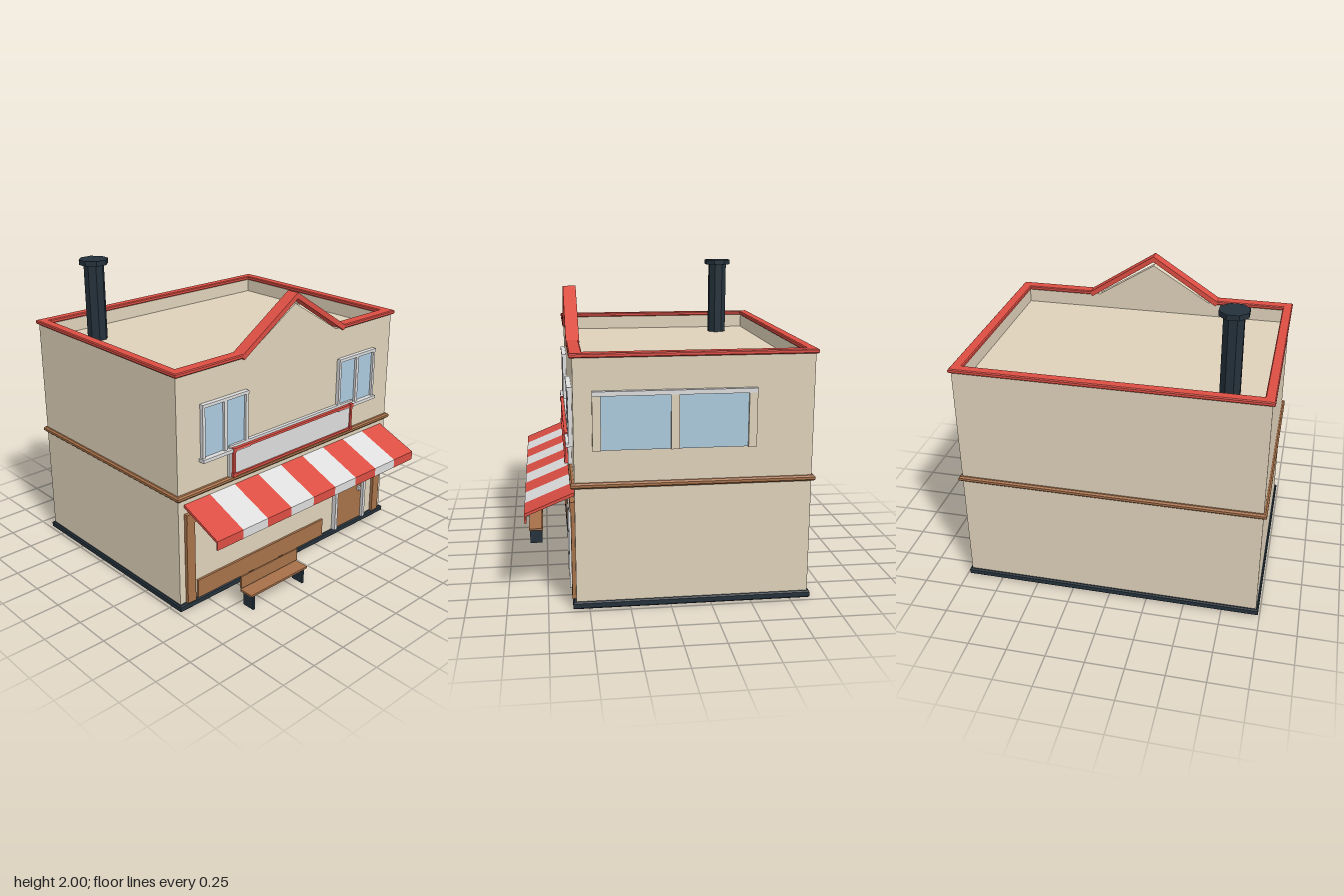
import * as THREE from 'three';

const mat = (name, color) => {
  const m = new THREE.MeshStandardMaterial({ color });
  m.name = name;
  return m;
};

export function createModel() {
  const root = new THREE.Group();
  root.name = 'shop';
  const beige = mat('beige plaster', 0xdfd2ba);
  const red = mat('red paint', 0xdc4e43);
  const white = mat('off white', 0xdddddd);
  const brown = mat('brown wood', 0xa77149);
  const dark = mat('dark slate', 0x24313b);
  const glass = mat('blue glass', 0xabcade);

  const add = (name, geo, material, parent = root) => {
    const mesh = new THREE.Mesh(geo, material);
    mesh.name = name;
    parent.add(mesh);
    return mesh;
  };
  const group = (name) => {
    const g = new THREE.Group();
    g.name = name;
    root.add(g);
    return g;
  };
  // Box given by its bounds
  const box = (name, material, x0, x1, y0, y1, z0, z1, parent) => {
    const geo = new THREE.BoxGeometry(x1 - x0, y1 - y0, z1 - z0);
    geo.translate((x0 + x1) / 2, (y0 + y1) / 2, (z0 + z1) / 2);
    return add(name, geo, material, parent);
  };
  const polygon = (pts) => new THREE.Shape(pts.map(([x, y]) => new THREE.Vector2(x, y)));
  const rect = (x0, x1, z0, z1) => [[x0, -z0], [x0, -z1], [x1, -z1], [x1, -z0]];
  // Plan outline raised from y0 to y1 with a chamfer b on its edges
  const raise = (shape, y0, y1, b = 0) => {
    const geo = new THREE.ExtrudeGeometry(shape, {
      depth: y1 - y0 - 2 * b, bevelEnabled: b > 0, bevelThickness: b, bevelSize: b, bevelOffset: -b, bevelSegments: 1,
    });
    return geo.rotateX(-Math.PI / 2).translate(0, y0 + b, 0);
  };
  const ring = (outer, inner) => {
    const s = polygon(rect(...outer));
    s.holes.push(polygon(rect(...inner)));
    return s;
  };

  // Building shell and recessed roof
  const wallOut = [-0.975, 0.965, -0.86, 0.58];
  const wallIn = [-0.935, 0.92, -0.82, 0.53];
  add('walls', raise(ring(wallOut, wallIn), 0.03, 1.56), beige);
  box('roofDeck', beige, -0.94, 0.925, 1.42, 1.46, -0.825, 0.535);
  add('plinth', raise(polygon(rect(-0.99, 0.98, -0.875, 0.6)), 0.005, 0.05, 0.008), dark);
  add('beltCourse', raise(ring([-0.995, 0.985, -0.88, 0.605], [-0.95, 0.94, -0.835, 0.555]), 0.77, 0.805, 0.01), brown);

  // Parapet coping, open at the front where the gable stands
  const coping = polygon([
    [-0.46, -0.6], [-0.99, -0.6], [-0.99, 0.875], [0.98, 0.875], [0.98, -0.6], [0.45, -0.6],
    [0.45, -0.52], [0.91, -0.52], [0.91, 0.81], [-0.925, 0.81], [-0.925, -0.52], [-0.46, -0.52],
  ]);
  add('parapetCoping', raise(coping, 1.553, 1.58, 0.006), red);

  // Gable
  const gable = group('gable');
  const upright = (name, pts, material, z0, z1) => add(name,
    new THREE.ExtrudeGeometry(polygon(pts), { depth: z1 - z0, bevelEnabled: false }).translate(0, 0, z0), material, gable);
  upright('gablePanel', [[-0.4, 1.56], [0.39, 1.56], [-0.005, 1.805]], beige, 0.53, 0.58);
  upright('gableRake', [[-0.475, 1.572], [-0.455, 1.543], [-0.005, 1.838], [0.445, 1.543], [0.465, 1.572], [-0.005, 1.877]],
    red, 0.515, 0.6);

  // Octagonal chimney
  const chimney = group('chimney');
  const octagon = (name, r, y0, y1) => {
    const geo = new THREE.CylinderGeometry(r, r, y1 - y0, 8).toNonIndexed();
    geo.computeVertexNormals();
    geo.rotateY(Math.PI / 8).translate(-0.7, (y0 + y1) / 2, -0.58);
    add(name, geo, dark, chimney);
  };
  octagon('chimneyShaft', 0.067, 1.45, 1.98);
  octagon('chimneyCap', 0.096, 1.967, 2);

  // Front windows: frame bars, two panes and a sill
  for (const x of [-0.61, 0.6]) {
    const w = group('frontWindow');
    for (const [a, b] of [[-0.185, -0.165], [-0.012, 0.012], [0.165, 0.185]])
      box('windowBar', white, x + a, x + b, 1, 1.325, 0.575, 0.605, w);
    box('windowHead', white, x - 0.185, x + 0.185, 1.325, 1.345, 0.575, 0.61, w);
    box('windowSill', white, x - 0.195, x + 0.19, 0.978, 1, 0.575, 0.622, w);
    box('windowGlass', glass, x - 0.17, x + 0.17, 1, 1.33, 0.58, 0.588, w);
  }

  // Side window
  const side = group('sideWindow');
  for (const [a, b] of [[0.42, 0.47], [-0.045, 0.005], [-0.51, -0.46]])
    box('sideWindowPost', beige, 0.96, 0.988, 1, 1.33, a, b, side);
  box('sideWindowHead', white, 0.96, 0.995, 1.33, 1.358, -0.51, 0.47, side);
  box('sideWindowGlass', glass, 0.965, 0.973, 1, 1.335, -0.465, 0.425, side);

  // Sign board with red frame and corner blocks
  const sign = group('signBoard');
  box('signBacking', white, -0.578, 0.565, 0.806, 1.018, 0.575, 0.604, sign);
  box('signPanel', white, -0.55, 0.535, 0.82, 0.99, 0.604, 0.612, sign);
  for (const y of [0.82, 0.993]) box('signRail', red, -0.55, 0.535, y - 0.008, y + 0.008, 0.6, 0.624, sign);
  for (const x of [-0.553, 0.538]) {
    box('signStile', red, x - 0.009, x + 0.009, 0.82, 0.99, 0.6, 0.622, sign);
    for (const y of [0.822, 0.99])
      box('signCorner', red, x - 0.013, x + 0.013, y - 0.014, y + 0.014, 0.6, 0.627, sign);
  }

  // Striped awning
  const awning = group('awning');
  const stripe = 1.85 / 9;
  const section = polygon([[0.575, 0.715], [0.868, 0.596], [0.868, 0.55], [0.88, 0.55], [0.88, 0.61], [0.575, 0.735]]);
  for (let i = 0; i < 9; i++) {
    const geo = new THREE.ExtrudeGeometry(section, { depth: stripe, bevelEnabled: false });
    geo.rotateY(-Math.PI / 2).translate(-0.928 + (i + 1) * stripe, 0, 0);
    add('awningStripe', geo, i % 2 ? white : red, awning);
  }

  // Shop front woodwork
  box('leftPost', brown, 0.855, 0.92, 0.05, 0.605, 0.575, 0.603);
  box('rightPost', brown, -0.93, -0.865, 0.05, 0.605, 0.575, 0.603);
  box('shopBeam', brown, -0.93, 0.92, 0.605, 0.67, 0.575, 0.608);
  box('basePanel', brown, -0.84, 0.315, 0.05, 0.175, 0.575, 0.595);

  // Door
  const door = group('door');
  box('doorLeaf', brown, 0.452, 0.732, 0.05, 0.56, 0.575, 0.59, door);
  for (const x of [0.43, 0.732]) box('doorJamb', white, x, x + 0.024, 0.05, 0.585, 0.575, 0.613, door);
  box('doorHead', white, 0.454, 0.732, 0.56, 0.585, 0.575, 0.613, door);
  box('doorGlass', glass, 0.488, 0.7, 0.335, 0.528, 0.59, 0.595, door);
  box('doorHandle', white, 0.685, 0.707, 0.28, 0.308, 0.59, 0.612, door);

  // Bench
  const bench = group('bench');
  box('benchSeat', brown, -0.652, -0.148, 0.103, 0.117, 0.78, 0.88, bench);
  box('benchBack', brown, -0.652, -0.148, 0.125, 0.21, 0.778, 0.788, bench);
  for (const x of [-0.622, -0.178]) box('benchLeg', dark, x - 0.008, x + 0.008, 0, 0.103, 0.785, 0.873, bench);

  return root;
}
